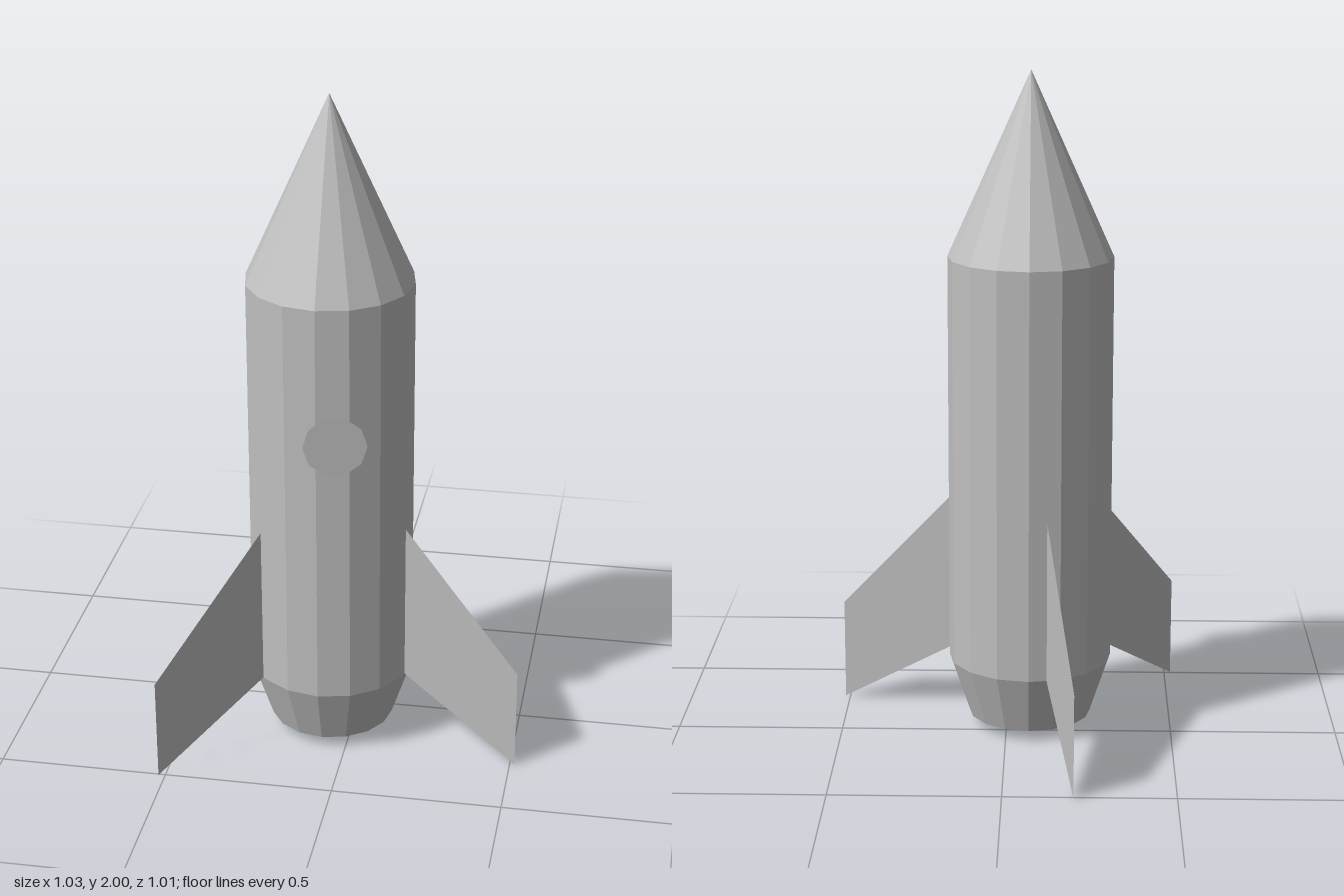
import * as THREE from 'three';

const grey = new THREE.MeshStandardMaterial({ color: 0xc0c0c0, flatShading: true, side: THREE.DoubleSide });
grey.name = 'hull grey';

const SIDES = 16;
const RADIUS = 0.245;
const KEEL = THREE.MathUtils.degToRad(17.3); // direction of the first fin, from +x towards +z

function part(name, geometry, parent) {
  const mesh = new THREE.Mesh(geometry, grey);
  mesh.name = name;
  parent.add(mesh);
  return mesh;
}

// A 16-sided ring section from [radius, height] points, bottom to top
function turned(points) {
  return new THREE.LatheGeometry(points.map(([r, y]) => new THREE.Vector2(r, y)), SIDES);
}

export function createModel() {
  const model = new THREE.Group();
  model.name = 'rocket';

  // The hull axis is off centre because the three fins are centred by their bounds
  const rocket = new THREE.Group();
  rocket.name = 'rocketBody';
  rocket.position.set(-0.07, 0, 0.09);
  model.add(rocket);

  // Hull: closed tapered tail, straight tube, pointed nose
  part('tail', turned([[0, 0.04], [0.185, 0.04], [RADIUS, 0.22]]), rocket);
  part('hull', turned([[RADIUS, 0.22], [RADIUS, 1.455]]), rocket);
  part('noseCone', turned([[RADIUS, 1.455], [0, 2]]), rocket);

  // Three flat swept fins
  const finShape = new THREE.Shape([
    new THREE.Vector2(RADIUS, 0.22),
    new THREE.Vector2(0.612, 0.005),
    new THREE.Vector2(0.612, 0.317),
    new THREE.Vector2(RADIUS, 0.71),
  ]);
  const finGeometry = new THREE.ShapeGeometry(finShape);
  for (let i = 0; i < 3; i++) {
    const fin = part('fin' + (i + 1), finGeometry, rocket);
    fin.rotation.y = -(KEEL + (i * Math.PI * 2) / 3);
  }

  // Round window, opposite the rear fin and just clear of the hull
  const facing = Math.PI / 2 - (KEEL + Math.PI / 3);
  const porthole = part('porthole', new THREE.CircleGeometry(0.092, 10), rocket);
  porthole.position.set(Math.sin(facing) * 0.261, 1.05, Math.cos(facing) * 0.261);
  porthole.rotation.y = facing;

  return model;
}
